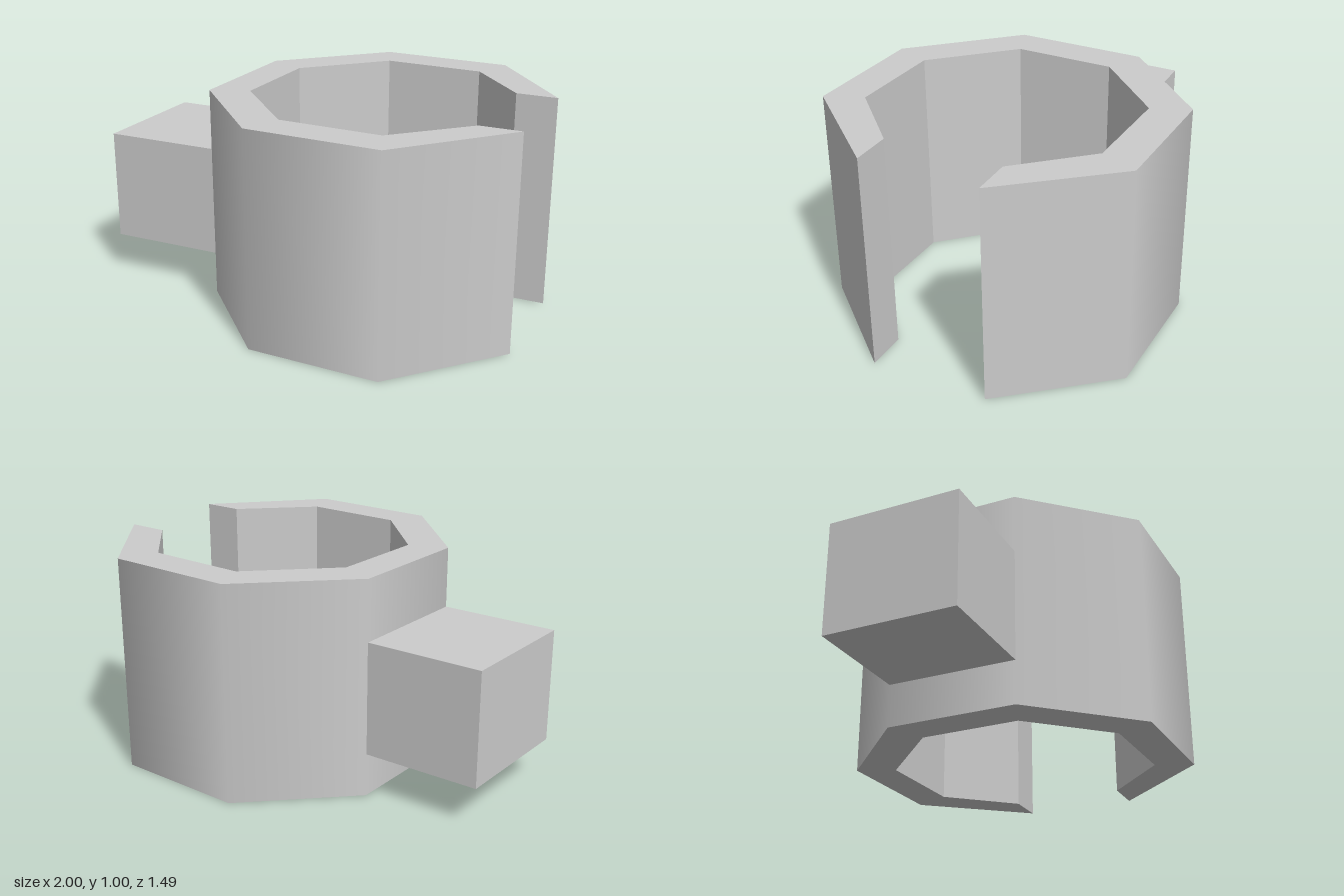
import * as THREE from 'three';

// Extrudes a plan outline of [x, z] points upward from y0 to y1
function prism(outline, y0, y1) {
  const shape = new THREE.Shape(outline.map(([x, z]) => new THREE.Vector2(x, -z)));
  const geo = new THREE.ExtrudeGeometry(shape, { depth: y1 - y0, bevelEnabled: false, steps: 1 });
  return geo.rotateX(-Math.PI / 2).translate(0, y0, 0);
}

// Smooths the normals of walls facing away from the vertical axis at (cx, 0)
function smoothOuterWall(geo, cx) {
  const pos = geo.attributes.position, nor = geo.attributes.normal;
  const sums = new Map(), outer = [];
  for (let i = 0; i < pos.count; i++) {
    const n = new THREE.Vector3().fromBufferAttribute(nor, i);
    const facing = n.x * (pos.getX(i) - cx) + n.z * pos.getZ(i);
    if (Math.abs(n.y) > 0.5 || facing <= 0) continue;
    const key = pos.getX(i).toFixed(3) + ',' + pos.getZ(i).toFixed(3);
    if (!sums.has(key)) sums.set(key, new THREE.Vector3());
    sums.get(key).add(n);
    outer.push([i, key]);
  }
  for (const [i, key] of outer) {
    const n = sums.get(key).clone().normalize();
    nor.setXYZ(i, n.x, n.y, n.z);
  }
  return geo;
}

export function createModel() {
  const group = new THREE.Group();
  const material = new THREE.MeshStandardMaterial({ color: 0xcccccc });
  const add = (name, geo) => {
    const mesh = new THREE.Mesh(geo, material);
    mesh.name = name;
    group.add(mesh);
  };

  // Open eight-sided ring, with a gap on the +x side
  const outside = [[1, -0.26], [0.615, -0.733], [0, -0.748], [-0.44, -0.33],
    [-0.455, 0.28], [-0.035, 0.725], [0.58, 0.742], [1, 0.28]];
  const inside = [[0.81, 0.28], [0.51, 0.57], [0.04, 0.555], [-0.282, 0.215],
    [-0.268, -0.25], [0.07, -0.575], [0.54, -0.56], [0.81, -0.26]];
  add('openRing', smoothOuterWall(prism([...outside, ...inside], 0, 1), 0.26));

  // Slightly skewed block fixed to the closed side
  add('mountingBlock', prism(
    [[-0.44, -0.33], [-0.985, -0.33], [-1, 0.28], [-0.455, 0.28]], 0.2, 0.72));

  return group;
}
